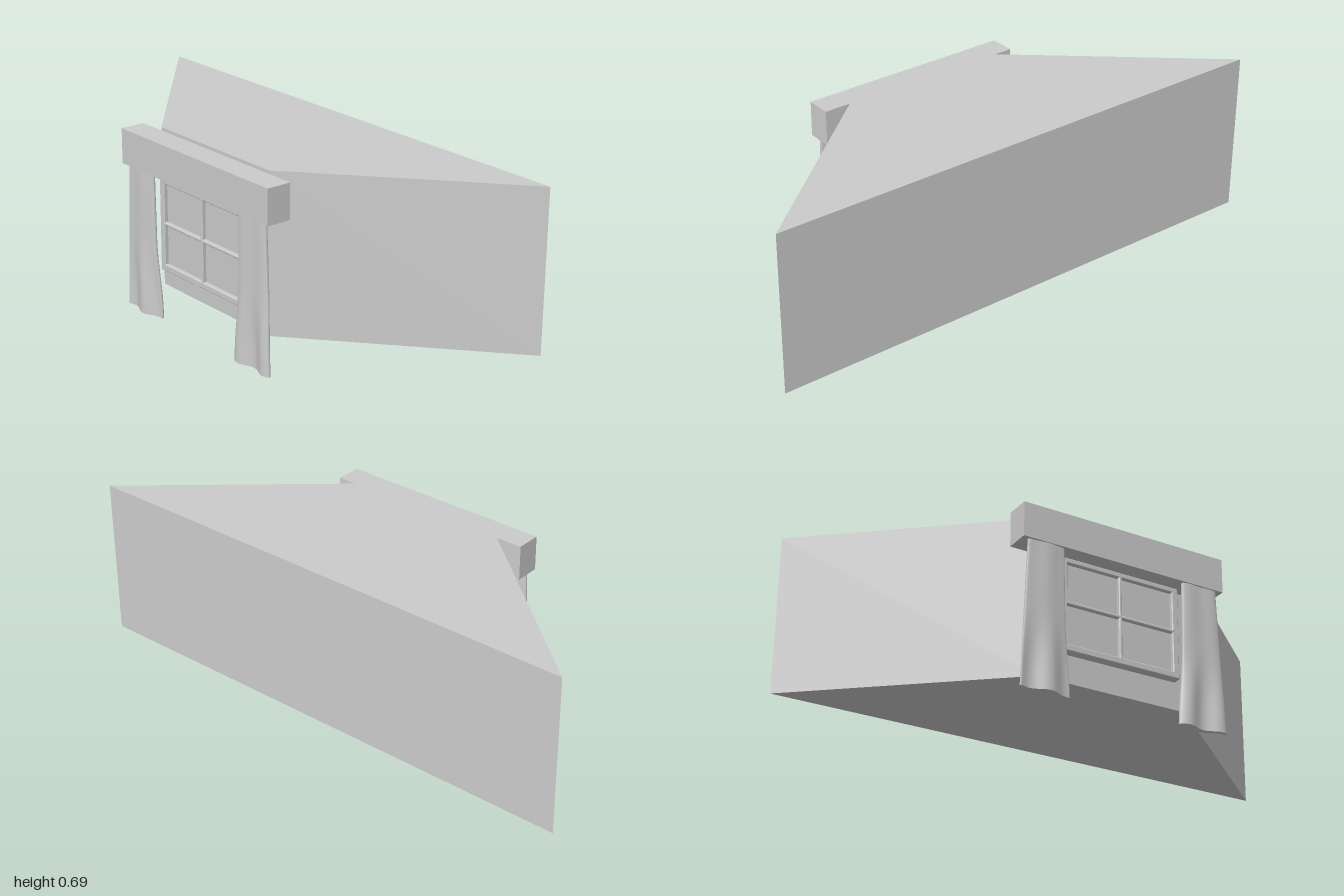
import * as THREE from 'three';

const material = new THREE.MeshStandardMaterial({ color: 0xcccccc });

function addMesh(parent, name, geometry, x = 0, y = 0, z = 0) {
  const mesh = new THREE.Mesh(geometry, material);
  mesh.name = name;
  mesh.position.set(x, y, z);
  parent.add(mesh);
  return mesh;
}

function polygon(points) {
  return new THREE.Shape(points.map(([x, y]) => new THREE.Vector2(x, y)));
}

function rectangle(x0, y0, x1, y1) {
  return polygon([[x0, y0], [x1, y0], [x1, y1], [x0, y1]]);
}

// Curtain: rounded flat sections that flare and ripple towards the hem
function curtainGeometry(side, phase) {
  const rows = 24, around = 64, top = 0.56;
  const positions = [], indices = [];
  const point = (row, i) => {
    const v = row / rows;
    const flare = 1 - THREE.MathUtils.smoothstep(v, 0.08, 0.55);
    const t = (i / around) * Math.PI * 2;
    const c = Math.cos(t), s = Math.sin(t);
    const inner = 0.243 - 0.01 * (1 - v) - 0.017 * flare * (1 - v);
    const outer = 0.385 + 0.025 * (1 - v);
    const x = side * (inner + outer) / 2 + c * (outer - inner) / 2;
    const ripple = (0.002 + 0.009 * flare) * Math.cos(c * 4.4 + phase);
    const z = 0.329 + Math.sign(s) * Math.pow(Math.abs(s), 0.5) * 0.0105 + ripple;
    return [x, v * top, z];
  };
  for (let r = 0; r <= rows; r++)
    for (let i = 0; i < around; i++) positions.push(...point(r, i));
  for (let r = 0; r < rows; r++)
    for (let i = 0; i < around; i++) {
      const j = (i + 1) % around;
      const a = r * around + i, b = r * around + j;
      indices.push(a, a + around, b, b, a + around, b + around);
    }
  // End caps: strips joining the front half to the back half
  for (const row of [0, rows]) {
    const base = positions.length / 3;
    for (let i = 0; i < around; i++) positions.push(...point(row, i));
    for (let i = 0; i < around / 2; i++) {
      const a = base + i, b = base + i + 1;
      const c = base + (around - i) % around, d = base + around - i - 1;
      if (row === 0) indices.push(a, b, c, b, d, c);
      else indices.push(a, c, b, b, c, d);
    }
  }
  const geometry = new THREE.BufferGeometry();
  geometry.setAttribute('position', new THREE.Float32BufferAttribute(positions, 3));
  geometry.setIndex(indices);
  geometry.computeVertexNormals();
  return geometry;
}

export function createModel() {
  const model = new THREE.Group();
  model.name = 'curtainedWindow';

  // Tapered bay behind the window
  const bay = new THREE.ExtrudeGeometry(
    polygon([[-0.3, -0.25], [0.3, -0.25], [1, 0.35], [-1, 0.35]]),
    { depth: 0.6, bevelEnabled: false });
  bay.rotateX(-Math.PI / 2);
  addMesh(model, 'bay', bay, 0, 0.09, 0);

  // Pelmet over the curtains
  addMesh(model, 'pelmet', new THREE.BoxGeometry(0.82, 0.131, 0.095), 0, 0.6125, 0.2975);

  // Window frame with four openings
  const windowGroup = new THREE.Group();
  windowGroup.name = 'window';
  model.add(windowGroup);
  const bevel = 0.003;
  const frame = rectangle(-0.24 + bevel, 0.182 + bevel, 0.24 - bevel, 0.532 - bevel);
  for (const [x0, x1] of [[-0.215, -0.006], [0.006, 0.215]])
    for (const [y0, y1] of [[0.207, 0.356], [0.368, 0.513]])
      frame.holes.push(rectangle(x0 - bevel, y0 - bevel, x1 + bevel, y1 + bevel));
  addMesh(windowGroup, 'windowFrame', new THREE.ExtrudeGeometry(frame, {
    depth: 0.037 - 2 * bevel, bevelSize: bevel, bevelThickness: bevel, bevelSegments: 1,
  }), 0, 0, 0.27 + bevel);
  addMesh(windowGroup, 'windowPane', new THREE.BoxGeometry(0.45, 0.32, 0.014), 0, 0.36, 0.285);

  // Curtains
  addMesh(model, 'leftCurtain', curtainGeometry(1, 2.9));
  addMesh(model, 'rightCurtain', curtainGeometry(-1, -0.5));

  return model;
}
